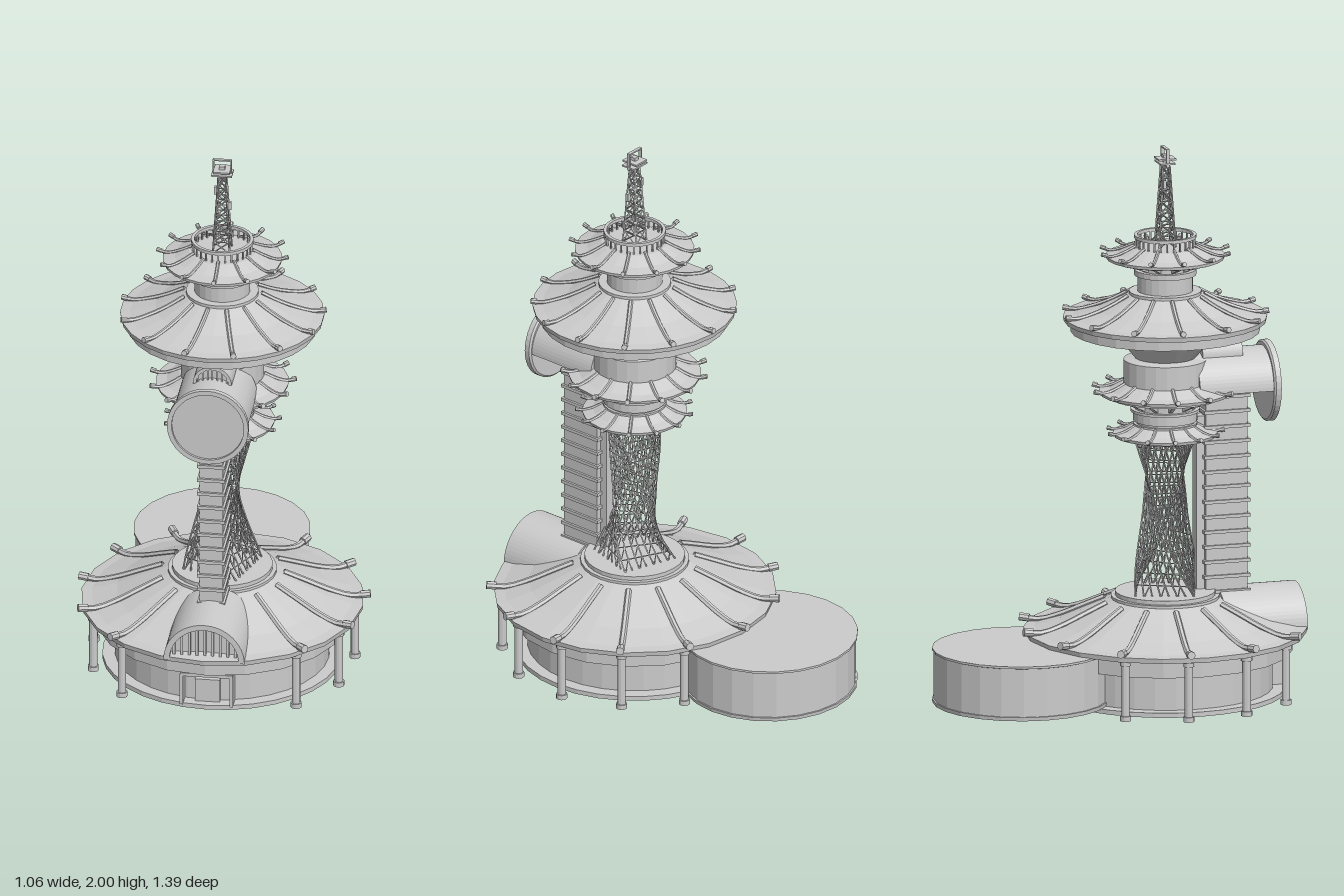
import * as THREE from 'three';
import { mergeGeometries } from 'three/addons/utils/BufferGeometryUtils.js';

const flat = new THREE.MeshStandardMaterial({ color: 0xcccccc, flatShading: true, side: THREE.DoubleSide });
const V = (x, y, z) => new THREE.Vector3(x, y, z);

function add(parent, name, geometry, x = 0, y = 0, z = 0) {
  const m = new THREE.Mesh(geometry, flat);
  m.name = name;
  m.position.set(x, y, z);
  parent.add(m);
  return m;
}

// Profile [radius, height] pairs, listed from the bottom up
const lathe = (pts, n = 24) => new THREE.LatheGeometry(pts.map(p => new THREE.Vector2(p[0], p[1])), n);
const box = (w, h, d, x, y, z) => new THREE.BoxGeometry(w, h, d).translate(x, y, z);

// Thin strut between two points
function bar(a, b, r) {
  const d = b.clone().sub(a);
  const g = new THREE.CylinderGeometry(r, r, d.length(), 4, 1, true);
  g.applyQuaternion(new THREE.Quaternion().setFromUnitVectors(V(0, 1, 0), d.normalize()));
  return g.translate((a.x + b.x) / 2, (a.y + b.y) / 2, (a.z + b.z) / 2);
}

// Copies of one geometry around the vertical axis, first one at the back
function ring(geo, n, skip = () => false) {
  const out = [];
  for (let i = 0; i < n; i++) if (!skip(i)) out.push(geo.clone().rotateY((i / n) * Math.PI * 2));
  return mergeGeometries(out);
}

// Curved roof rib with a thicker rounded tip
function rib(pts, r) {
  const path = pts.map(p => V(0, p[1], -p[0]));
  const tip = path[path.length - 1], before = tip.clone().lerp(path[path.length - 2], 0.5);
  const end = new THREE.CylinderGeometry(r * 1.35, r * 1.35, before.distanceTo(tip), 8);
  end.applyQuaternion(new THREE.Quaternion().setFromUnitVectors(V(0, 1, 0), tip.clone().sub(before).normalize()));
  const mid = tip.clone().lerp(before, 0.5);
  end.translate(mid.x, mid.y, mid.z);
  return mergeGeometries([new THREE.TubeGeometry(new THREE.CatmullRomCurve3(path), 10, r, 6), end]);
}

// Half-round solid or vault, extruded towards +z
function arch(R, depth, inner = 0) {
  const s = new THREE.Shape();
  s.absarc(0, 0, R, 0, Math.PI, false);
  if (inner) s.absarc(0, 0, inner, Math.PI, 0, true);
  s.closePath();
  return new THREE.ExtrudeGeometry(s, { depth, bevelEnabled: false, curveSegments: 16 });
}

// Vertical slats that fill a half-round opening
function slats(R, n, w) {
  const out = [];
  for (let i = 0; i < n; i++) {
    const x = ((i + 0.5) / n * 2 - 1) * R, h = Math.sqrt(R * R - x * x);
    out.push(box(w, h, w, x, h / 2, 0));
  }
  return mergeGeometries(out);
}

// Triangular bracket under an eave
function bracket(r0, y0, r1, y1, t) {
  const s = new THREE.Shape([new THREE.Vector2(r0, y0), new THREE.Vector2(r1, y1), new THREE.Vector2(r0, y1)]);
  return new THREE.ExtrudeGeometry(s, { depth: t, bevelEnabled: false }).translate(0, 0, -t / 2).rotateY(Math.PI / 2);
}

function buildBase(t) {
  add(t, 'floorDisc', lathe([[0, 0.005], [0.43, 0.005], [0.43, 0.022], [0, 0.022]], 32));
  add(t, 'hallWall', lathe([[0.385, 0.02], [0.385, 0.145], [0.4, 0.145], [0.4, 0.16], [0.385, 0.16], [0.385, 0.22]], 32));
  add(t, 'mainRoof', lathe([[0, 0.218], [0.43, 0.218], [0.43, 0.155], [0.455, 0.155], [0.455, 0.215], [0.505, 0.22],
    [0.508, 0.238], [0.47, 0.242], [0.38, 0.268], [0.28, 0.312], [0.19, 0.352], [0, 0.352]], 20));
  add(t, 'roofCollar', lathe([[0.18, 0.345], [0.195, 0.35], [0.195, 0.36], [0.18, 0.36], [0.18, 0.375], [0, 0.375]], 28));
  const front = i => i === 6 || i === 7;
  add(t, 'mainRoofRibs', ring(rib([[0.22, 0.342], [0.3, 0.307], [0.38, 0.272], [0.46, 0.248], [0.53, 0.255]], 0.011), 13, front));
  const column = mergeGeometries([
    new THREE.CylinderGeometry(0.015, 0.015, 0.21, 12).translate(0, 0.115, -0.474),
    new THREE.CylinderGeometry(0.02, 0.02, 0.018, 12).translate(0, 0.009, -0.474),
    new THREE.CylinderGeometry(0.02, 0.02, 0.015, 12).translate(0, 0.21, -0.474)]);
  add(t, 'columns', ring(column, 13, front));
  // Entrance
  add(t, 'entrance', mergeGeometries([box(0.19, 0.012, 0.06, 0, 0.14, 0.4), box(0.012, 0.12, 0.06, -0.09, 0.08, 0.4),
    box(0.012, 0.12, 0.06, 0.09, 0.08, 0.4), box(0.09, 0.09, 0.02, 0, 0.065, 0.39)]));
  // Vaulted dormer over the entrance
  add(t, 'dormerVault', arch(0.146, 0.3, 0.125), 0, 0.228, 0.19);
  add(t, 'dormerBack', arch(0.126, 0.25), 0, 0.228, 0.2);
  add(t, 'dormerSlats', slats(0.125, 9, 0.009), 0, 0.228, 0.465);
}

function buildLattice(t) {
  const N = 28, L = 14, parts = [];
  // Point on a twisted square section that narrows at the waist
  const p = (i, j) => {
    const k = j / L, side = Math.floor((i % N) / (N / 4)), f = ((i % N) / (N / 4)) % 1;
    const s = 0.058 + 0.048 * Math.pow(Math.abs(k - 0.52) / 0.52, 1.7) * (k < 0.52 ? 1 : 0.6);
    const a = side * Math.PI / 2 + k * 2.1 + 0.3, u = (f * 2 - 1) * s;
    return V(s * Math.cos(a) - u * Math.sin(a), 0.37 + k * 0.58, s * Math.sin(a) + u * Math.cos(a));
  };
  for (let j = 0; j < L; j++) for (let i = 0; i < N; i++) {
    parts.push(bar(p(i, j), p(i, j + 1), 0.0032), bar(p(i, j), p(i + 1, j), 0.0022));
    if (i % 2 === 0) parts.push(bar(p(i + N, j), p(i + N - 1, j + 1), 0.0025));
  }
  add(t, 'twistedLattice', mergeGeometries(parts));
}

function buildShaft(t) {
  const parts = [box(0.084, 0.86, 0.155, 0, 0.68, 0.218), box(0.05, 0.7, 0.03, 0, 0.66, 0.125)];
  for (let i = 0; i < 15; i++) {
    const y = 0.31 + i * 0.055;
    parts.push(box(0.1, 0.012, 0.172, 0, y, 0.218));
  }
  add(t, 'liftShaft', mergeGeometries(parts));
}

function buildPod(t) {
  add(t, 'lowerRoof', lathe([[0, 0.93], [0.13, 0.93], [0.135, 0.943], [0.185, 0.945], [0.188, 0.956], [0.15, 0.965],
    [0.115, 0.985], [0.115, 0.992], [0.1, 0.992]]));
  add(t, 'lowerRoofRibs', ring(rib([[0.11, 0.986], [0.15, 0.966], [0.185, 0.957], [0.212, 0.962]], 0.006), 13));
  add(t, 'podDrum', lathe([[0.105, 0.985], [0.105, 1.0], [0.115, 1.0], [0.115, 1.035], [0.125, 1.035], [0.125, 1.045], [0.11, 1.045], [0.11, 1.09]]));
  add(t, 'middleRoof', lathe([[0.1, 1.085], [0.2, 1.085], [0.2, 1.097], [0.235, 1.099], [0.238, 1.11], [0.2, 1.116],
    [0.155, 1.14], [0.15, 1.14], [0.15, 1.225], [0.11, 1.232], [0.165, 1.3], [0.09, 1.3]]));
  add(t, 'middleRoofRibs', ring(rib([[0.15, 1.142], [0.19, 1.122], [0.23, 1.111], [0.265, 1.12]], 0.007), 13));
  add(t, 'middleBrackets', ring(bracket(0.1, 1.045, 0.195, 1.088, 0.014), 13));
  // Half-round gallery with a round window at the front
  add(t, 'galleryVault', arch(0.138, 0.28), 0, 1.11, 0.09);
  add(t, 'roundWindow', lathe([[0, -0.012], [0.14, -0.012], [0.147, -0.006], [0.147, 0.014], [0.13, 0.014], [0.13, 0.004], [0, 0.004]], 40),
    0, 1.12, 0.377).rotation.x = Math.PI / 2;
  add(t, 'skylightVault', arch(0.07, 0.15, 0.058), 0, 1.232, 0.12);
  add(t, 'skylightBack', arch(0.06, 0.13), 0, 1.232, 0.12);
  add(t, 'skylightSlats', slats(0.06, 7, 0.005), 0, 1.232, 0.264);
}

function buildCrown(t) {
  add(t, 'crownNeck', lathe([[0.1, 1.295], [0.1, 1.38]]));
  add(t, 'crownBrackets', ring(bracket(0.095, 1.305, 0.31, 1.375, 0.018), 13));
  add(t, 'crownRoof', lathe([[0, 1.372], [0.315, 1.372], [0.315, 1.33], [0.34, 1.33], [0.34, 1.365], [0.363, 1.367],
    [0.366, 1.384], [0.33, 1.388], [0.24, 1.412], [0.17, 1.445], [0.13, 1.465], [0.13, 1.476], [0, 1.476]], 26));
  add(t, 'crownRoofRibs', ring(rib([[0.14, 1.465], [0.2, 1.433], [0.27, 1.406], [0.33, 1.392], [0.372, 1.398]], 0.008), 13));
  add(t, 'upperDrum', lathe([[0.1, 1.47], [0.1, 1.535], [0.112, 1.535], [0.112, 1.555], [0.095, 1.555], [0.095, 1.6]]));
  add(t, 'topBrackets', ring(bracket(0.09, 1.555, 0.195, 1.593, 0.012), 12));
  add(t, 'topRoof', lathe([[0, 1.592], [0.2, 1.592], [0.212, 1.596], [0.214, 1.607], [0.17, 1.615], [0.12, 1.638], [0, 1.638]]));
  add(t, 'topRoofRibs', ring(rib([[0.11, 1.645], [0.15, 1.626], [0.2, 1.612], [0.238, 1.623]], 0.006), 12));
  // Open terrace railing
  add(t, 'terraceRailPosts', ring(box(0.005, 0.045, 0.005, 0, 1.658, -0.106), 28));
  add(t, 'terraceRail', lathe([[0.1, 1.67], [0.112, 1.67], [0.112, 1.682], [0.1, 1.682], [0.1, 1.67]], 28));
}

function buildMast(t) {
  const parts = [], L = 7;
  const p = (c, j) => {
    const s = 0.03 - 0.017 * j / L, a = c * Math.PI / 2 + Math.PI / 4;
    return V(s * 1.414 * Math.cos(a), 1.638 + 0.295 * j / L, s * 1.414 * Math.sin(a));
  };
  for (let j = 0; j < L; j++) for (let c = 0; c < 4; c++) {
    parts.push(bar(p(c, j), p(c, j + 1), 0.0035), bar(p(c, j + 1), p(c + 1, j + 1), 0.0025));
    parts.push(bar(p(c, j), p(c + 1, j + 1), 0.0025), bar(p(c + 1, j), p(c, j + 1), 0.0025));
  }
  add(t, 'mast', mergeGeometries(parts));
  add(t, 'mastPlatform', mergeGeometries([box(0.075, 0.006, 0.055, 0, 1.945, 0), box(0.06, 0.006, 0.065, 0, 1.96, 0),
    box(0.02, 0.05, 0.02, 0, 1.95, 0), box(0.012, 0.03, 0.012, 0.028, 1.82, 0.008), box(0.012, 0.03, 0.012, -0.024, 1.87, -0.01)]));
  add(t, 'mastFrame', mergeGeometries([box(0.068, 0.005, 0.012, 0, 1.9975, 0), box(0.068, 0.005, 0.012, 0, 1.935, 0),
    box(0.005, 0.065, 0.012, -0.032, 1.967, 0), box(0.005, 0.065, 0.012, 0.032, 1.967, 0)]));
}

export function createModel() {
  const model = new THREE.Group();
  model.name = 'tower';
  const t = new THREE.Group();
  t.name = 'towerBody';
  t.position.z = 0.187;
  model.add(t);
  [buildBase, buildLattice, buildShaft, buildPod, buildCrown, buildMast].forEach(f => f(t));
  // Round annex behind the hall
  add(model, 'annex', lathe([[0, 0.022], [0.316, 0.022], [0.318, 0.036], [0.312, 0.036], [0.312, 0.212], [0.318, 0.214], [0.318, 0.222], [0, 0.222]], 24),
    -0.078, 0, -0.378);
  return model;
}
